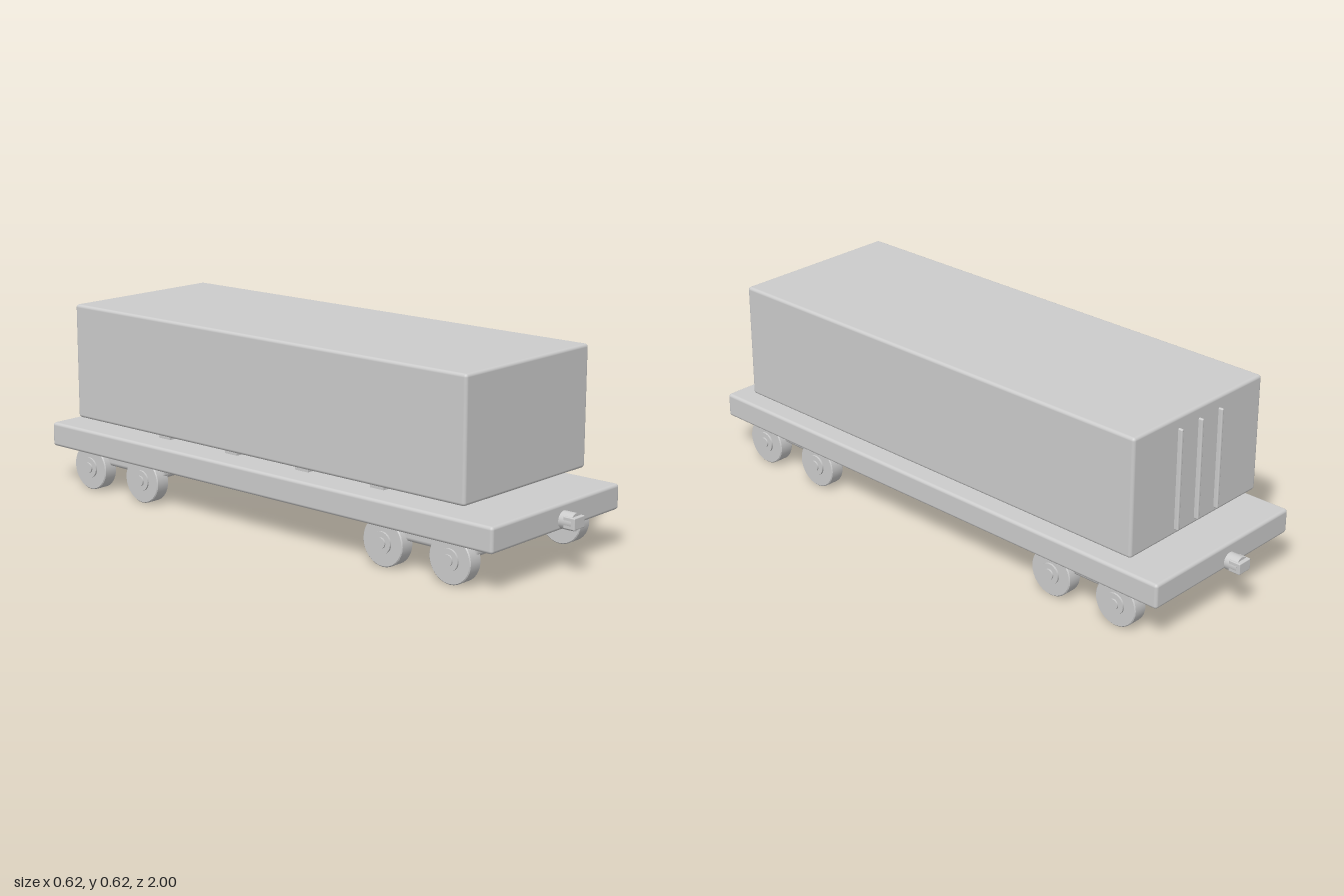
import * as THREE from 'three';
import { RoundedBoxGeometry } from 'three/addons/geometries/RoundedBoxGeometry.js';

export function createModel() {
  const model = new THREE.Group();
  model.name = 'flatWagon';
  const grey = new THREE.MeshStandardMaterial({ color: 0xcccccc });
  grey.name = 'light grey';

  function add(name, geometry, x, y, z, parent = model) {
    const mesh = new THREE.Mesh(geometry, grey);
    mesh.name = name;
    mesh.position.set(x, y, z);
    parent.add(mesh);
    return mesh;
  }
  const rounded = (w, h, d, r) => new RoundedBoxGeometry(w, h, d, 3, r);

  // Flat deck and the container above it
  add('deck', rounded(0.624, 0.08, 1.85, 0.01), 0, 0.167, 0);
  add('container', rounded(0.588, 0.38, 1.624, 0.01), 0, 0.43, 0);

  // Upright door bars on the rear of the container
  for (const x of [-0.093, 0, 0.093]) {
    add('doorBar', rounded(0.01, 0.325, 0.022, 0.004), x, 0.42, -0.815);
  }

  // Pads between deck and container
  for (const x of [-0.225, 0.225]) {
    for (const z of [-0.45, -0.15, 0.15, 0.45]) {
      add('containerPad', new THREE.BoxGeometry(0.043, 0.018, 0.052), x, 0.226, z);
    }
  }

  // Wheel profile, turned about its axle: [radius, outward distance]
  const wheelProfile = [
    [0, -0.025], [0.072, -0.025], [0.072, -0.025], [0.075, -0.022], [0.075, -0.022],
    [0.075, 0.022], [0.075, 0.022], [0.072, 0.025], [0.072, 0.025], [0, 0.025],
  ].map(([r, d]) => new THREE.Vector2(r, d));
  const wheelGeometry = new THREE.LatheGeometry(wheelProfile, 32);
  const hubGeometry = new THREE.CylinderGeometry(0.034, 0.034, 0.008, 24);
  const capGeometry = new THREE.CylinderGeometry(0.017, 0.017, 0.012, 20);

  for (const end of [-1, 1]) {
    // Bogie with two axles' worth of wheels
    const bogie = new THREE.Group();
    bogie.name = end > 0 ? 'frontBogie' : 'rearBogie';
    model.add(bogie);
    add('bogieFrame', rounded(0.54, 0.06, 0.395, 0.015), 0, 0.117, end * 0.636, bogie);
    for (const z of [0.512, 0.761]) {
      for (const side of [-1, 1]) {
        const wheel = new THREE.Group();
        wheel.name = 'wheel';
        wheel.position.set(side * 0.268, 0.076, end * z);
        wheel.rotation.z = -side * Math.PI / 2;
        add('tyre', wheelGeometry, 0, 0, 0, wheel);
        add('hub', hubGeometry, 0, 0.027, 0, wheel);
        add('hubCap', capGeometry, 0, 0.03, 0, wheel);
        bogie.add(wheel);
      }
    }

    // Coupler: short round shank with a block head
    const shank = add('couplerShank', new THREE.CylinderGeometry(0.027, 0.027, 0.044, 24), 0, 0.167, end * 0.966);
    shank.rotation.x = Math.PI / 2;
    add('couplerHead', rounded(0.052, 0.036, 0.04, 0.003), 0, 0.167, end * 0.98);
  }

  return model;
}
